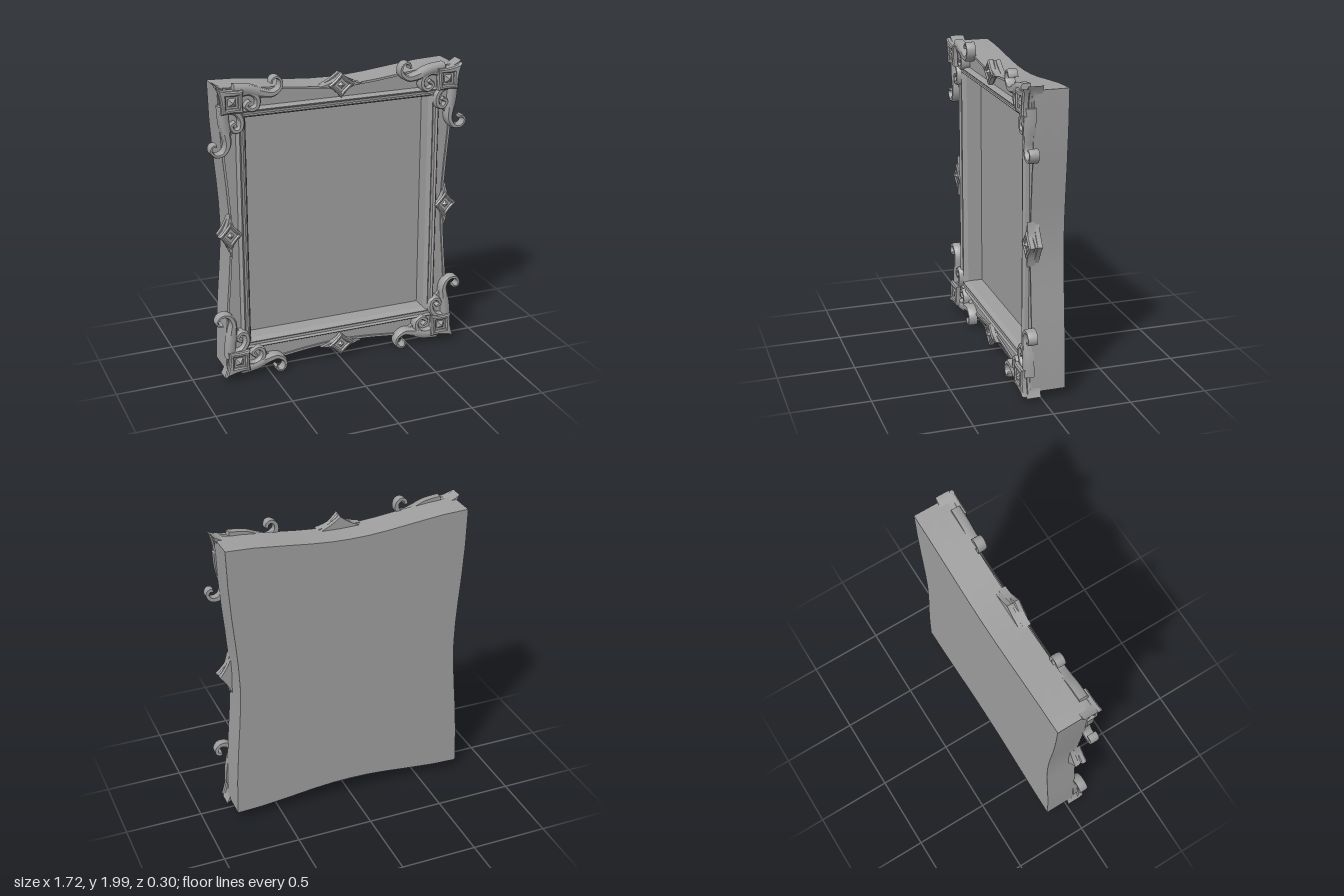
import * as THREE from 'three';
import { toCreasedNormals } from 'three/addons/utils/BufferGeometryUtils.js';

const material = new THREE.MeshStandardMaterial({ color: 0x9f9f9f });
const CY = 1.005; // height of the frame's centre
const FLOOR = -0.05; // depth of the recessed panel

function add(parent, name, geometry, crease = 0.6) {
  const mesh = new THREE.Mesh(toCreasedNormals(geometry, crease), material);
  mesh.name = name;
  parent.add(mesh);
}

function extrude(shape, z0, z1, bevel = 0) {
  const g = new THREE.ExtrudeGeometry(shape, {
    depth: z1 - z0 - bevel, curveSegments: 8, bevelEnabled: bevel > 0,
    bevelThickness: bevel, bevelSize: bevel, bevelOffset: -bevel, bevelSegments: 1,
  });
  return g.translate(0, 0, z0);
}

// Concave-sided outline, grown or shrunk by d
function outline(d = 0) {
  const quarter = [[0.736, 0], [0.741, 0.15], [0.752, 0.3], [0.768, 0.48], [0.783, 0.7], [0.79, 0.942],
    [0.62, 0.935], [0.4, 0.912], [0.25, 0.895], [0.12, 0.885], [0, 0.882]];
  const pts = [];
  for (const [sx, sy] of [[1, 1], [-1, 1], [-1, -1], [1, -1]]) {
    const q = quarter.map(([x, y]) => new THREE.Vector2(
      sx * (x + (x > 0 ? d : 0)), sy * (y + (y > 0 ? d : 0))));
    if (sx * sy < 0) q.reverse();
    pts.push(...q.slice(0, -1));
  }
  return pts;
}

function rectangle(a, b) {
  return new THREE.Path([[-a, -b], [-a, b], [a, b], [a, -b]].map(p => new THREE.Vector2(...p)));
}

// Four-pointed star with gently hollow sides; its +x point may be longer
function star(a, b, pull = 0.42, tip = a) {
  const s = new THREE.Shape();
  s.moveTo(tip, 0);
  s.quadraticCurveTo(a * pull, b * pull, 0, b);
  s.quadraticCurveTo(-a * pull, b * pull, -a, 0);
  s.quadraticCurveTo(-a * pull, -b * pull, 0, -b);
  s.quadraticCurveTo(a * pull, -b * pull, tip, 0);
  return s;
}

// Rimmed diamond with a small pyramid in the middle
function diamond(parent, name, a, b, z, tip) {
  const g = new THREE.Group();
  g.name = name;
  const rim = star(a, b, 0.42, tip);
  rim.holes.push(star(a * 0.58, b * 0.58));
  add(g, 'diamondRim', extrude(rim, z, z + 0.035, 0.008));
  add(g, 'diamondFloor', extrude(star(a * 0.7, b * 0.7), z, z + 0.015));
  const stud = new THREE.ConeGeometry(0.036, 0.03, 4).rotateX(Math.PI / 2);
  add(g, 'diamondStud', stud.translate(0, 0, z + 0.03), 0.1);
  parent.add(g);
  return g;
}

// Chamfered ribbon swept along a flat curve, its width varying along it
function ribbon(points, widthAt, z0, z1) {
  const curve = new THREE.CatmullRomCurve3(points.map(([x, y]) => new THREE.Vector3(x, y, 0)));
  const section = [[1, 0], [1, 0.78], [0.55, 1], [-0.55, 1], [-1, 0.78], [-1, 0]];
  const n = 48, m = section.length, pos = [], idx = [];
  for (let i = 0; i <= n; i++) {
    const p = curve.getPointAt(i / n), t = curve.getTangentAt(i / n), w = widthAt(i / n) / 2;
    for (const [u, v] of section) pos.push(p.x - t.y * u * w, p.y + t.x * u * w, z0 + (z1 - z0) * v);
  }
  for (let i = 0; i < n; i++) {
    for (let k = 0; k < m; k++) {
      const a = i * m + k, b = i * m + (k + 1) % m;
      idx.push(a, b, a + m, b, b + m, a + m);
    }
  }
  for (let k = 1; k < m - 1; k++) idx.push(0, k + 1, k, n * m, n * m + k, n * m + k + 1);
  const g = new THREE.BufferGeometry();
  g.setAttribute('position', new THREE.Float32BufferAttribute(pos, 3));
  g.setIndex(idx);
  return g;
}

// Rectangular moulding: a four-sided lathe pushed out to the opening's size
function moulding() {
  const profile = [[0.165, 0.045], [0.163, 0.075], [0.152, 0.09], [0.14, 0.078], [0.125, 0.075],
    [0.118, 0.08], [0.108, 0.07], [0.103, 0.055], [0.1, 0.05], [0.1, FLOOR]];
  const g = new THREE.LatheGeometry(profile.map(p => new THREE.Vector2(...p)), 4, Math.PI / 4);
  g.rotateX(Math.PI / 2);
  const p = g.attributes.position;
  for (let i = 0; i < p.count; i++) {
    const d = Math.hypot(p.getX(i), p.getY(i)) - 0.1;
    p.setXY(i, Math.sign(p.getX(i)) * (0.614 + d), Math.sign(p.getY(i)) * (0.74 + d));
  }
  g.deleteAttribute('normal');
  return g;
}

// Hooked scrolls of one corner, from the hook in to the corner, and the volutes beside them
const scrolls = {
  topScroll: [[0.462, 0.95], [0.455, 0.975], [0.43, 0.986], [0.402, 0.965], [0.402, 0.92], [0.45, 0.885],
    [0.52, 0.895], [0.6, 0.922], [0.7, 0.935]],
  sideScroll: [[0.815, 0.598], [0.84, 0.597], [0.852, 0.57], [0.825, 0.535], [0.775, 0.54], [0.745, 0.59],
    [0.75, 0.66], [0.762, 0.74], [0.768, 0.84]],
};
const volutes = {
  topVolute: [[0.68, 0.9], [0.6, 0.908], [0.55, 0.87], [0.55, 0.82], [0.585, 0.798], [0.622, 0.825], [0.595, 0.855]],
  sideVolute: [[0.745, 0.81], [0.69, 0.795], [0.653, 0.74], [0.662, 0.685], [0.698, 0.675], [0.718, 0.71], [0.69, 0.73]],
};
const scrollWidth = t => 0.02 + 0.04 * THREE.MathUtils.smoothstep(t, 0.1, 0.75);
const voluteWidth = t => 0.046 - 0.02 * t;

function corner(sx, sy) {
  const g = new THREE.Group();
  g.name = 'cornerOrnament';
  const mirror = pts => pts.map(([x, y]) => [sx * x, sy * y]);
  for (const name in scrolls) add(g, name, ribbon(mirror(scrolls[name]), scrollWidth, 0.052, 0.112), 0.8);
  for (const name in volutes) add(g, name, ribbon(mirror(volutes[name]), voluteWidth, 0.05, 0.108), 0.8);

  // Leaf plate under the scrolls, drawn out to a point at the corner
  const leaf = new THREE.Shape();
  leaf.moveTo(sx * 0.812, sy * 0.972);
  for (const [cx, cy, x, y] of [[0.77, 0.925, 0.66, 0.935], [0.56, 0.93, 0.44, 0.9], [0.5, 0.87, 0.56, 0.83],
    [0.61, 0.79, 0.655, 0.79], [0.63, 0.72, 0.68, 0.68], [0.73, 0.64, 0.755, 0.56], [0.785, 0.68, 0.785, 0.8],
    [0.775, 0.92, 0.812, 0.972]]) leaf.quadraticCurveTo(sx * cx, sy * cy, sx * x, sy * y);
  add(g, 'cornerLeaf', extrude(leaf, 0.045, 0.075));

  // Spiked block carrying the corner diamond
  const spike = new THREE.Shape();
  spike.moveTo(sx * 0.812, sy * 0.972);
  spike.quadraticCurveTo(sx * 0.75, sy * 0.92, sx * 0.65, sy * 0.93);
  spike.lineTo(sx * 0.66, sy * 0.8);
  spike.lineTo(sx * 0.78, sy * 0.79);
  spike.quadraticCurveTo(sx * 0.765, sy * 0.89, sx * 0.812, sy * 0.972);
  add(g, 'cornerSpike', extrude(spike, 0.012, 0.105));

  const d = diamond(g, 'cornerDiamond', 0.1, 0.1, 0.1, 0.135);
  d.position.set(sx * 0.717, sy * 0.862, 0);
  d.rotation.z = Math.atan2(sy, sx);
  return g;
}

// Diamond at the middle of a side, with tails lying along the edge
function edgeOrnament(x, y, upright) {
  const g = new THREE.Group();
  g.name = 'edgeOrnament';
  add(g, 'backPlate', extrude(star(0.122, 0.074, 0.4), 0.01, 0.04));
  add(g, 'tailPlate', extrude(star(0.142, 0.07, 0.25), 0.035, 0.085));
  diamond(g, 'edgeDiamond', 0.09, 0.08, 0.06);
  g.position.set(x, y, 0);
  if (upright) g.rotation.z = Math.PI / 2;
  return g;
}

export function createModel() {
  const model = new THREE.Group();
  model.name = 'pictureFrame';
  const frame = new THREE.Group();
  frame.name = 'frame';
  frame.position.y = CY;
  model.add(frame);

  // Solid back and the open front half
  add(frame, 'backPanel', extrude(new THREE.Shape(outline()), -0.15, FLOOR));
  const front = new THREE.Shape(outline());
  front.holes.push(rectangle(0.618, 0.744));
  add(frame, 'frontPanel', extrude(front, FLOOR, 0.05));

  // Thin raised edge around the outside
  const edge = new THREE.Shape(outline());
  edge.holes.push(new THREE.Path(outline(-0.016)));
  add(frame, 'outerEdge', extrude(edge, 0.05, 0.062));
  add(frame, 'innerMoulding', moulding(), 0.3);

  for (const s of [-1, 1]) {
    frame.add(corner(s, 1), corner(s, -1));
    frame.add(edgeOrnament(s * 0.74, 0, true), edgeOrnament(0, s * 0.887, false));
  }
  return model;
}
